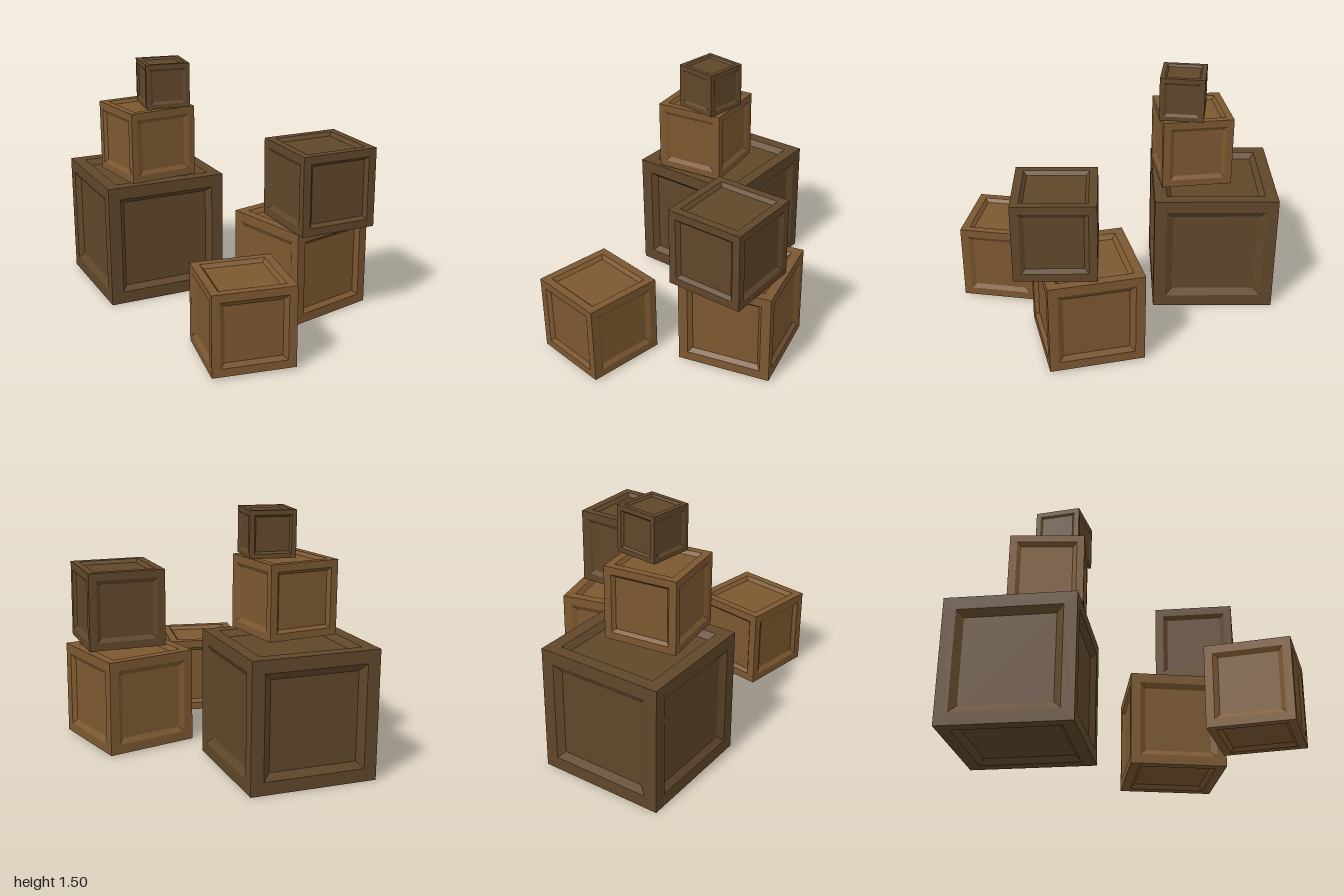
import * as THREE from 'three';
import { mergeGeometries } from 'three/addons/utils/BufferGeometryUtils.js';

const CORNERS = [[-1, -1], [1, -1], [1, 1], [-1, 1]];

// One side of a unit crate, facing +z: flat frame, bevel and sunken panel
function sideGeometry(outer, inner, depth) {
  const ring = (half, z) => CORNERS.map(([x, y]) => [x * half, y * half, z]);
  const rings = [ring(0.5, 0.5), ring(0.5 - outer, 0.5), ring(0.5 - inner, 0.5 - depth)];
  const positions = [];
  const quad = (a, b, c, d) => positions.push(...a, ...b, ...c, ...a, ...c, ...d);
  for (let r = 0; r < 2; r++) {
    for (let i = 0; i < 4; i++) {
      const j = (i + 1) % 4;
      quad(rings[r][i], rings[r][j], rings[r + 1][j], rings[r + 1][i]);
    }
  }
  quad(...rings[2]);
  const geometry = new THREE.BufferGeometry();
  geometry.setAttribute('position', new THREE.Float32BufferAttribute(positions, 3));
  geometry.computeVertexNormals();
  return geometry;
}

// Six panelled sides; front, top and bottom have the steeper bevel
function crateGeometry() {
  const steep = () => sideGeometry(0.1, 0.14, 0.045);
  const shallow = () => sideGeometry(0.1, 0.155, 0.035);
  const q = Math.PI / 2;
  return mergeGeometries([
    steep(),
    steep().rotateX(-q),
    steep().rotateX(q),
    shallow().rotateY(q),
    shallow().rotateY(-q),
    shallow().rotateY(2 * q),
  ]);
}

export function createModel() {
  const model = new THREE.Group();
  model.name = 'crateStack';
  const geometry = crateGeometry();
  const dark = new THREE.MeshStandardMaterial({ color: 0x60472a, flatShading: true });
  const light = new THREE.MeshStandardMaterial({ color: 0x7c5830, flatShading: true });

  // name, material, size, x, base y, z, turn about y
  const crates = [
    ['largeCrate', dark, 0.766, -0.348, 0, -0.617, 0],
    ['middleStackCrate', light, 0.438, -0.378, 0.78, -0.477, Math.PI + 0.125],
    ['topStackCrate', dark, 0.273, -0.291, 1.222, -0.411, Math.PI - 0.136],
    ['lowerLeftCrate', light, 0.577, 0.378, 0.008, 0.183, 0.236],
    ['upperLeftCrate', dark, 0.484, 0.399, 0.59, 0.353, 0],
    ['looseFrontCrate', light, 0.484, -0.292, 0.014, 0.72, Math.PI - 0.166],
  ];
  for (const [name, material, size, x, y, z, turn] of crates) {
    const crate = new THREE.Mesh(geometry, material);
    crate.name = name;
    crate.scale.setScalar(size);
    crate.position.set(x, y + size / 2, z);
    crate.rotation.y = turn;
    model.add(crate);
  }
  return model;
}
